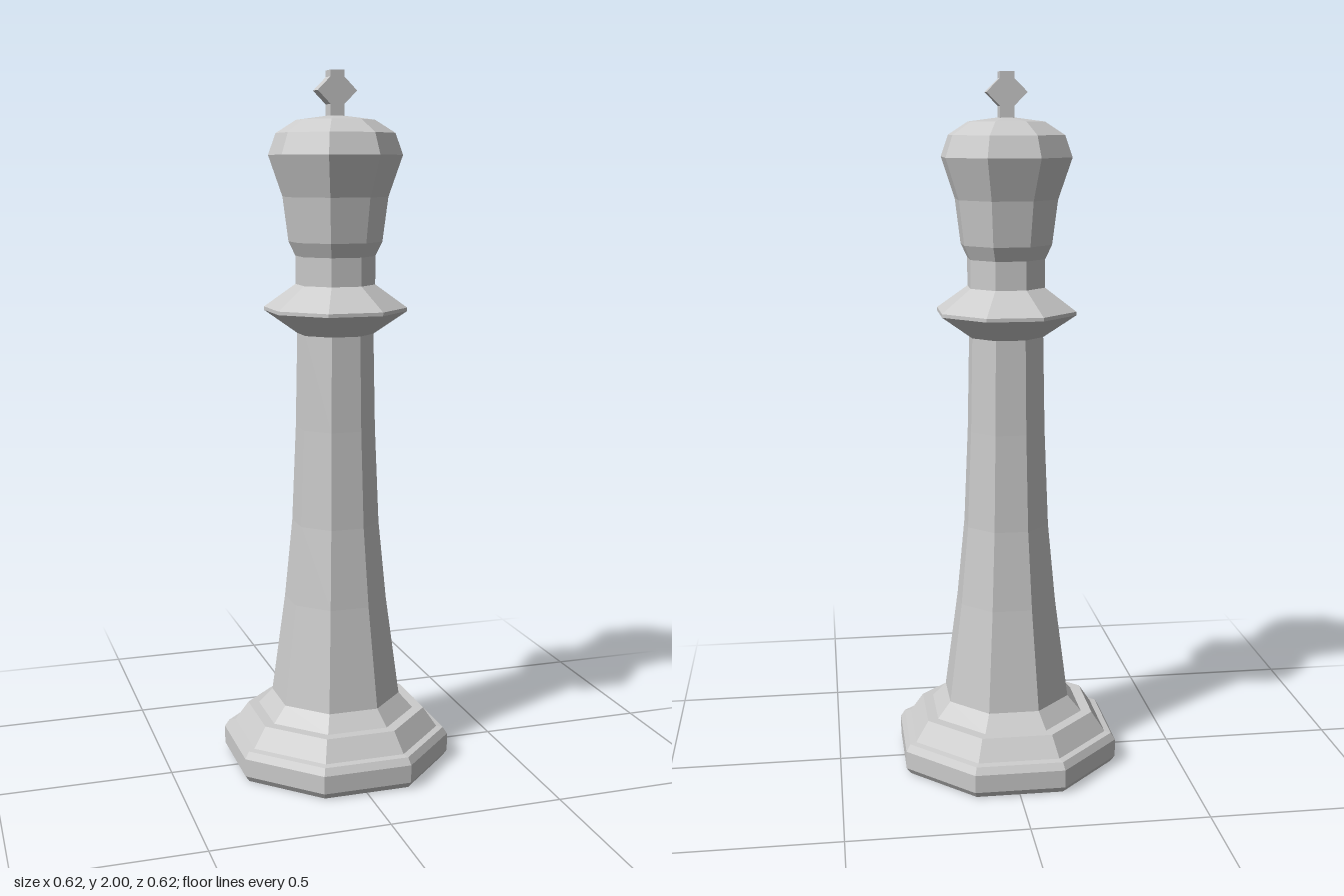
import * as THREE from 'three';

const SIDES = 8;
const material = new THREE.MeshStandardMaterial({ color: 0xcccccc, flatShading: true });

// Octagonal turned part; profile is [distance to flat side, height], bottom to top
function turned(name, profile) {
  const k = 1 / Math.cos(Math.PI / SIDES);
  const points = profile.map(([r, y]) => new THREE.Vector2(r * k, y));
  const geometry = new THREE.LatheGeometry(points, SIDES, Math.PI / SIDES);
  const mesh = new THREE.Mesh(geometry, material);
  mesh.name = name;
  return mesh;
}

// Faceted diamond finial with a short stem and flat tip
function finial() {
  const half = [[0.02, 1.865], [0.02, 1.908], [0.057, 1.945], [0.02, 1.982], [0.02, 2]];
  const left = half.map(([x, y]) => [-x, y]).reverse();
  const shape = new THREE.Shape([...half, ...left].map(([x, y]) => new THREE.Vector2(x, y)));
  const depth = 0.046;
  const geometry = new THREE.ExtrudeGeometry(shape, { depth, bevelEnabled: false });
  geometry.translate(0, 0, -depth / 2 - 0.002);
  const mesh = new THREE.Mesh(geometry, material);
  mesh.name = 'finial';
  return mesh;
}

export function createModel() {
  const group = new THREE.Group();
  group.name = 'chessKing';
  group.add(
    // Stepped foot
    turned('base', [
      [0, 0], [0.298, 0], [0.31, 0.018], [0.31, 0.07], [0.298, 0.09],
      [0.28, 0.093], [0.243, 0.15], [0.213, 0.15], [0.175, 0.195],
    ]),
    // Tapering column
    turned('shaft', [
      [0.175, 0.195], [0.138, 0.49], [0.117, 0.72], [0.106, 1.0], [0.101, 1.27],
    ]),
    // Flared ring and neck
    turned('collar', [
      [0.101, 1.27], [0.189, 1.335], [0.189, 1.345], [0.105, 1.41], [0.105, 1.49],
    ]),
    // Head with domed top
    turned('head', [
      [0.105, 1.49], [0.123, 1.53], [0.138, 1.655], [0.175, 1.77],
      [0.155, 1.83], [0.102, 1.866], [0, 1.88],
    ]),
    finial(),
  );
  return group;
}
